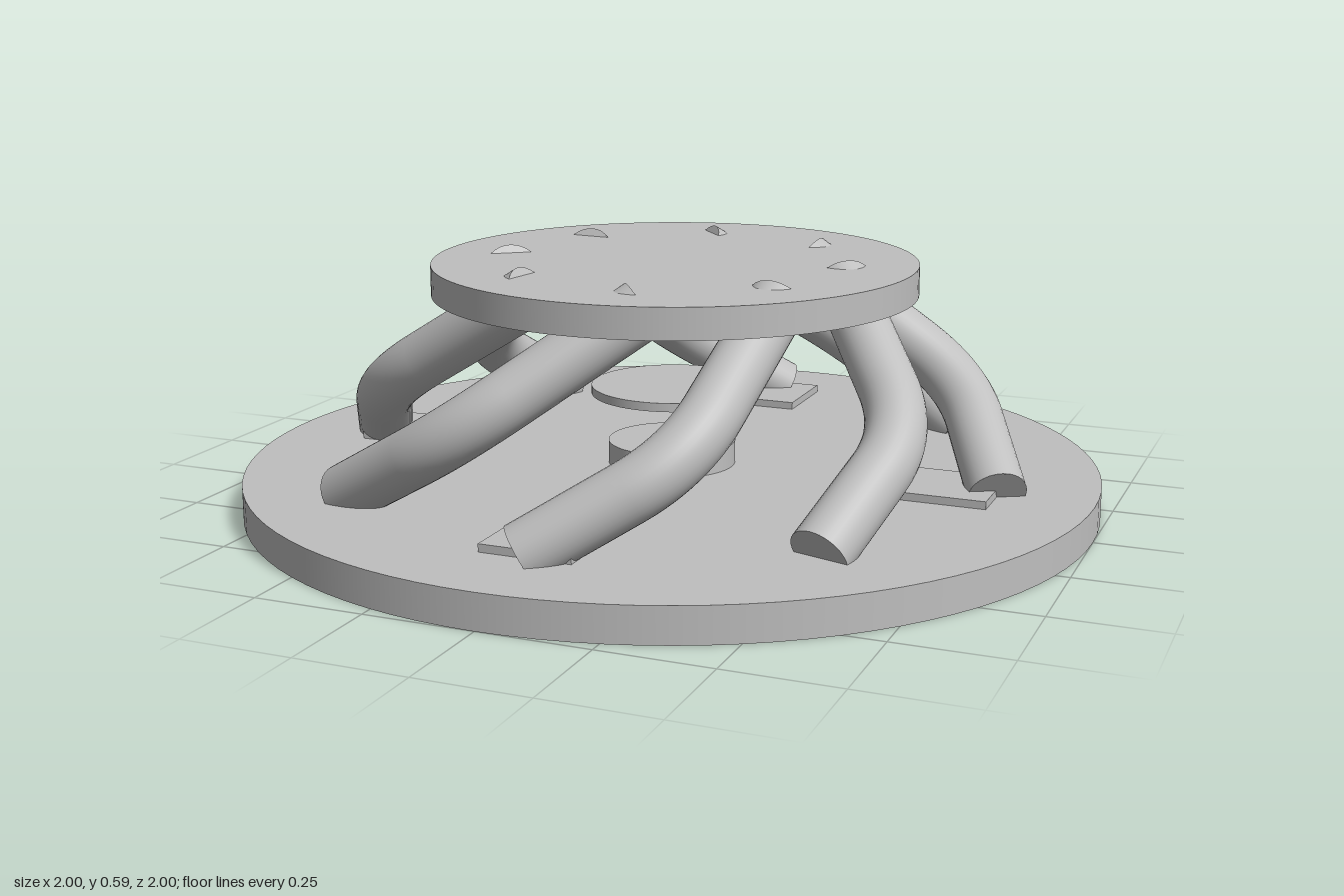
import * as THREE from 'three';

export function createModel() {
  const model = new THREE.Group();
  const grey = new THREE.MeshStandardMaterial({ color: 0xbfbfbf });
  grey.name = 'plain grey';

  const add = (name, geometry, x = 0, y = 0, z = 0, parent = model) => {
    const mesh = new THREE.Mesh(geometry, grey);
    mesh.name = name;
    mesh.position.set(x, y, z);
    parent.add(mesh);
    return mesh;
  };
  const disc = (name, r, y0, y1, x = 0, z = 0) =>
    add(name, new THREE.CylinderGeometry(r, r, y1 - y0, 96), x, (y0 + y1) / 2, z);
  // Point at an angle measured from the front towards +x
  const polar = (deg, r, y, x = 0, z = 0) => {
    const a = THREE.MathUtils.degToRad(deg);
    return new THREE.Vector3(x + Math.sin(a) * r, y, z + Math.cos(a) * r);
  };

  // Discs; the upper ones sit slightly off centre
  disc('baseDisc', 1, 0, 0.08);
  disc('topDisc', 0.56, 0.5, 0.57, 0.02, 0.03);
  disc('centrePedestal', 0.15, 0.08, 0.134);
  disc('floatingDisc', 0.195, 0.257, 0.277, 0.02, 0.03);

  // Four square pads on the base
  for (let i = 0; i < 4; i++) {
    const p = polar(i * 90, 0.678, 0.088);
    add('basePad', new THREE.BoxGeometry(0.21, 0.02, 0.21), p.x, p.y, p.z);
  }

  // Eight bent legs twisting up through the top disc
  const radius = 0.067;
  for (let i = 0; i < 8; i++) {
    const leg = new THREE.Group();
    leg.name = 'twistedLeg';
    model.add(leg);
    const foot = polar(i * 45 - 0.5, 0.785, 0.088);
    const bend = polar(i * 45 + 24, 0.68, 0.275, 0.01, 0.01);
    const tip = polar(i * 45 + 57, 0.385, 0.53, 0.02, 0.03);
    const before = bend.clone().lerp(foot, 0.35);
    const after = bend.clone().lerp(tip, 0.3);
    const path = new THREE.CurvePath();
    path.add(new THREE.LineCurve3(foot, before));
    path.add(new THREE.QuadraticBezierCurve3(before, bend, after));
    path.add(new THREE.LineCurve3(after, tip));
    add('legTube', new THREE.TubeGeometry(path, 40, radius, 32), 0, 0, 0, leg);
    // Flat end caps
    for (const [end, inner] of [[foot, before], [tip, after]]) {
      const cap = add('legEnd', new THREE.CircleGeometry(radius, 32), end.x, end.y, end.z, leg);
      cap.lookAt(end.clone().multiplyScalar(2).sub(inner));
    }
  }
  return model;
}
